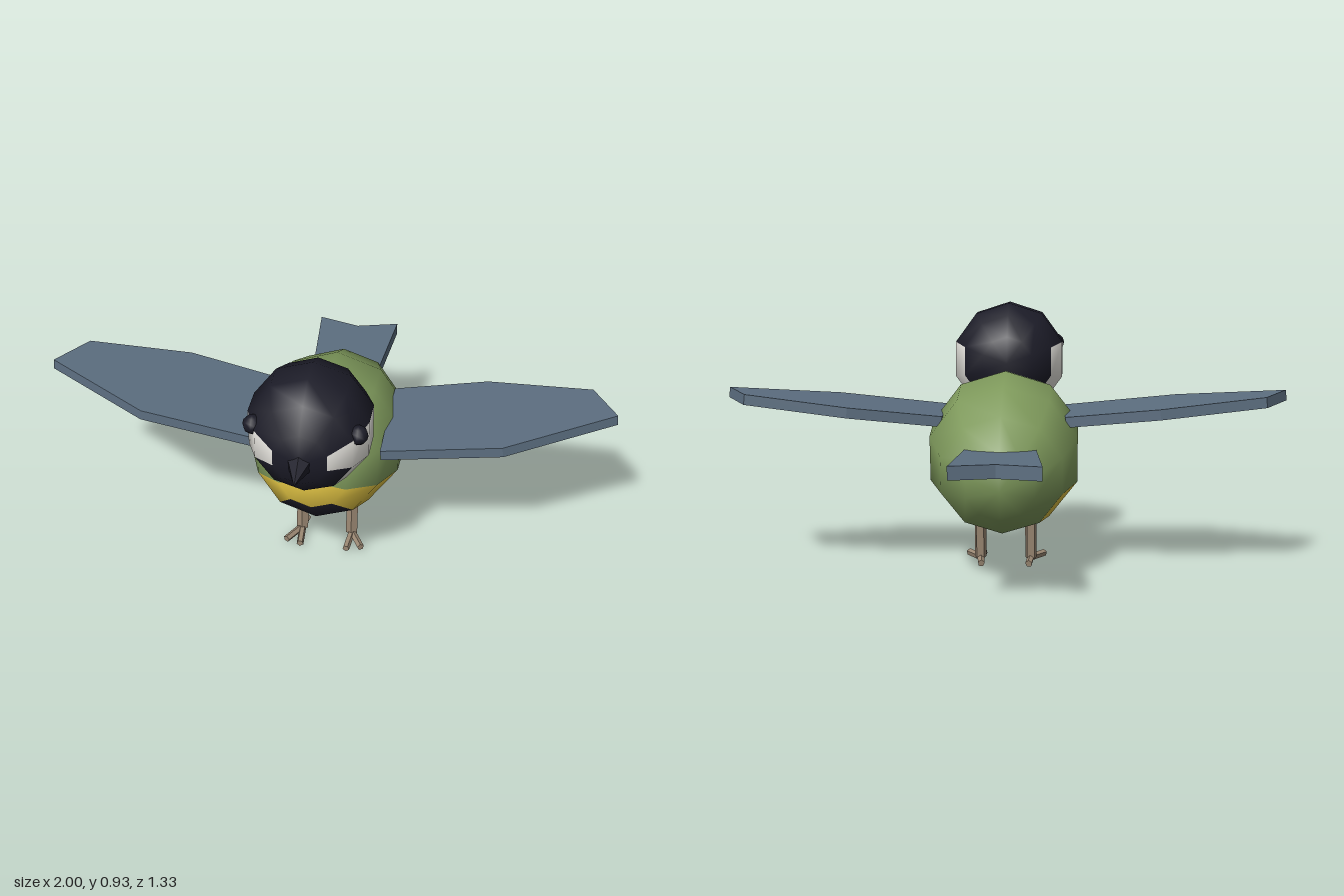
import * as THREE from 'three';

const mat = (name, color, side = THREE.FrontSide) => {
  const m = new THREE.MeshStandardMaterial({ color, side });
  m.name = name;
  return m;
};

const green = mat('green back', 0x7f9a5c);
const yellow = mat('yellow belly', 0xe4c644);
const black = mat('black cap', 0x1c1c28);
const white = mat('white cheek', 0xe8e6e0);
const slate = mat('slate wing', 0x5c6e80, THREE.DoubleSide);
const brown = mat('brown leg', 0x9c8974);

// Low-poly ellipsoid with its pole facing +z; pick(ring, seg) gives each quad's material index.
// Rings count from the front, segments from the top.
function patchedEllipsoid(name, rx, ry, rz, materials, pick) {
  const SEGS = 10, RINGS = 7;
  const g = new THREE.SphereGeometry(1, SEGS, RINGS, -Math.PI / 2, Math.PI * 2);
  g.rotateX(Math.PI / 2);
  g.scale(rx, ry, rz);
  g.clearGroups();
  let start = 0;
  for (let ring = 0; ring < RINGS; ring++) {
    const count = ring === 0 || ring === RINGS - 1 ? 3 : 6;
    for (let seg = 0; seg < SEGS; seg++) {
      g.addGroup(start, count, pick(ring, seg));
      start += count;
    }
  }
  const mesh = new THREE.Mesh(g, materials);
  mesh.name = name;
  return mesh;
}

// Flat plate from an outline of [x, z] points, with its underside at y = 0
function plateGeometry(points, thickness) {
  const shape = new THREE.Shape(points.map(([x, z]) => new THREE.Vector2(x, -z)));
  const g = new THREE.ExtrudeGeometry(shape, { depth: thickness, bevelEnabled: false });
  return g.rotateX(-Math.PI / 2);
}

// Leaves a plate hollow below by dropping its lower cap, the first half of the cap faces
function openUnderside(plate) {
  const skip = plate.groups[0].count / 2;
  const g = new THREE.BufferGeometry();
  for (const key of ['position', 'normal']) {
    g.setAttribute(key, new THREE.BufferAttribute(plate.attributes[key].array.slice(skip * 3), 3));
  }
  return g;
}

// Faceted rod or cone between two points
function rod(name, a, b, rA, rB, sides, material) {
  const from = new THREE.Vector3(...a), to = new THREE.Vector3(...b);
  const dir = to.clone().sub(from);
  const g = new THREE.CylinderGeometry(rB, rA, dir.length(), sides).toNonIndexed();
  g.computeVertexNormals();
  const mesh = new THREE.Mesh(g, material);
  mesh.quaternion.setFromUnitVectors(new THREE.Vector3(0, 1, 0), dir.normalize());
  mesh.position.copy(from.add(to).multiplyScalar(0.5));
  mesh.name = name;
  return mesh;
}

export function createModel() {
  const bird = new THREE.Group();
  bird.name = 'bird';

  // Body: green back, yellow belly, black patch on the breast
  const body = patchedEllipsoid('body', 0.28, 0.273, 0.412, [green, yellow, black], (ring, seg) => {
    if (ring === 1 && (seg === 4 || seg === 5)) return 2;
    return ring < 5 && seg >= 3 && seg <= 6 ? 1 : 0;
  });
  body.position.y = 0.431;
  body.rotation.x = -0.2;
  bird.add(body);

  // Head: black with white cheeks
  const head = patchedEllipsoid('head', 0.215, 0.216, 0.223, [black, white], (ring, seg) => {
    const s = Math.min(seg, 9 - seg);
    if (ring === 1) return s === 2 ? 1 : 0;
    return ring >= 2 && ring <= 4 && (s === 2 || s === 3) ? 1 : 0;
  });
  head.position.set(0, 0.727, 0.368);
  bird.add(head);

  bird.add(rod('beak', [0, 0.716, 0.566], [0, 0.7, 0.665], 0.046, 0, 6, black));

  // Tail with a notched end
  const tail = new THREE.Mesh(plateGeometry([
    [-0.12, -0.31], [0.12, -0.31], [0.15, -0.665], [0, -0.625], [-0.15, -0.665],
  ], 0.046), slate);
  tail.name = 'tail';
  tail.position.y = 0.435;
  bird.add(tail);

  // Paired parts
  for (const side of [1, -1]) {
    const label = side > 0 ? 'left' : 'right';

    const eye = new THREE.Mesh(new THREE.SphereGeometry(0.033, 8, 6), black);
    eye.name = label + 'Eye';
    eye.position.set(side * 0.172, 0.78, 0.472);
    bird.add(eye);

    // Wing outline is measured from its root and tilted up towards the tip
    const outline = [
      [0, 0.265], [0.41, 0.235], [0.785, 0.04], [0.698, -0.115], [0.328, -0.16], [0, -0.11],
    ].map(([x, z]) => [side * x, z]);
    const wing = new THREE.Mesh(openUnderside(plateGeometry(outline, 0.037)), slate);
    wing.name = label + 'Wing';
    wing.position.set(side * 0.219, 0.527, 0);
    wing.rotation.z = side * 0.107;
    bird.add(wing);

    // Leg with two front toes and one back toe
    const leg = new THREE.Group();
    leg.name = label + 'Leg';
    const ankle = [side * 0.092, 0.025, 0.066];
    leg.add(rod('shank', ankle, [side * 0.092, 0.21, 0.047], 0.022, 0.022, 5, brown));
    const toes = [[0.138, 0.024, 0.148], [0.085, 0.022, 0.162], [0.086, 0.015, 0.002]];
    toes.forEach(([x, y, z], i) => {
      leg.add(rod('toe' + (i + 1), ankle, [side * x, y, z], 0.013, 0.013, 5, brown));
    });
    bird.add(leg);
  }

  return bird;
}
